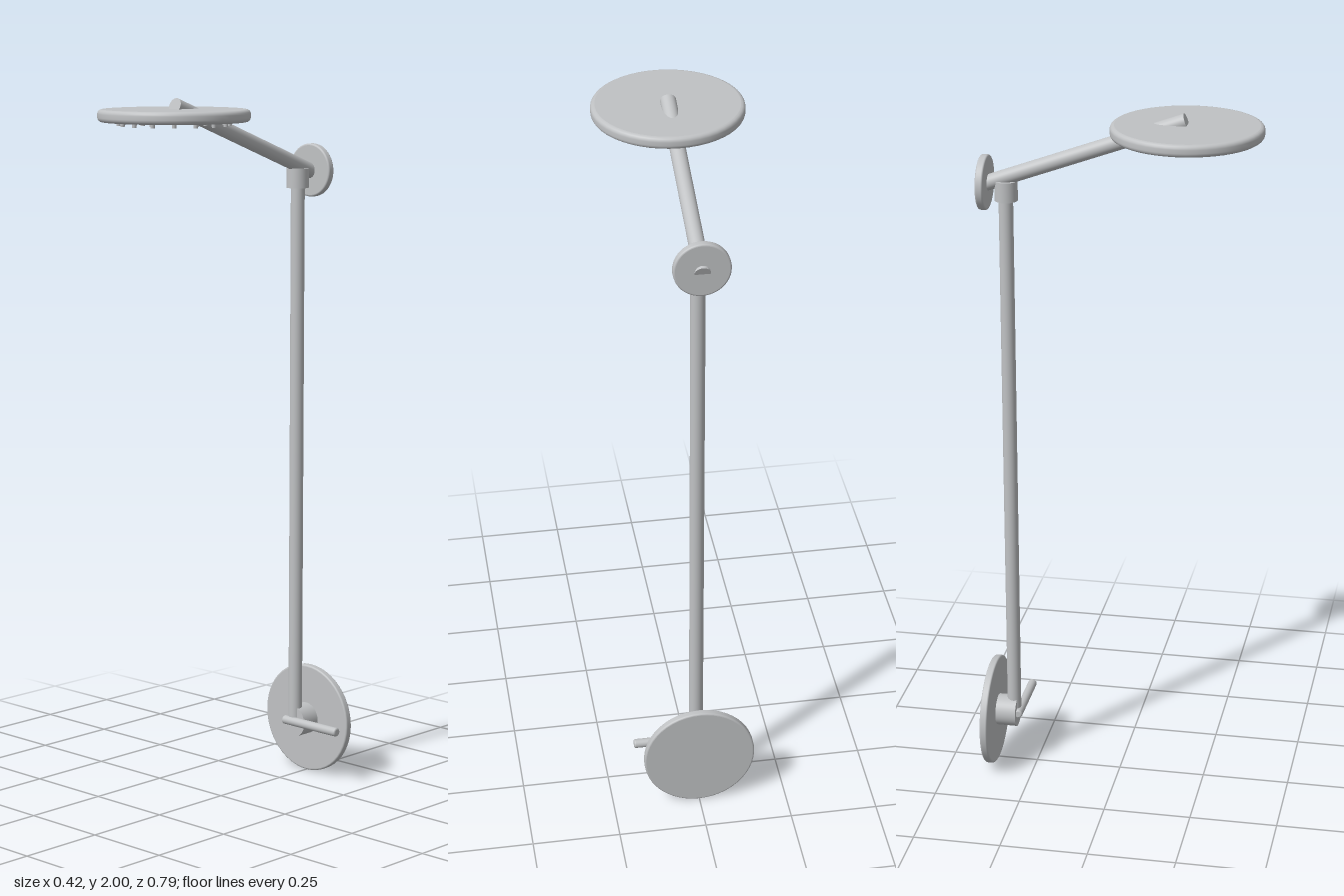
import * as THREE from 'three';

export function createModel() {
  const root = new THREE.Group();
  root.name = 'showerColumn';
  const steel = new THREE.MeshStandardMaterial({ color: 0xc0c2c4 });
  steel.name = 'brushed steel';

  const add = (name, geometry, x, y, z, parent = root) => {
    const mesh = new THREE.Mesh(geometry, steel);
    mesh.name = name;
    mesh.position.set(x, y, z);
    parent.add(mesh);
    return mesh;
  };

  // Disc or rod about the y axis with softly rounded rims; doubled points keep the flats crisp
  const rounded = (r, h, b, segments = 48) => {
    const pts = [[0, -h / 2], [r - b, -h / 2]];
    for (let i = 0; i <= 4; i++) {
      const a = -Math.PI / 2 + (i / 4) * Math.PI / 2;
      pts.push([r - b + b * Math.cos(a), -h / 2 + b + b * Math.sin(a)]);
    }
    for (let i = 0; i <= 4; i++) {
      const a = (i / 4) * Math.PI / 2;
      pts.push([r - b + b * Math.cos(a), h / 2 - b + b * Math.sin(a)]);
    }
    pts.push([r - b, h / 2], [0, h / 2]);
    return new THREE.LatheGeometry(pts.map(p => new THREE.Vector2(...p)), segments);
  };

  // Lower wall plate, valve hub and lever
  add('lowerWallPlate', rounded(0.16, 0.022, 0.005), 0, 0.162, -0.376).rotation.x = Math.PI / 2;
  add('valveHub', new THREE.CylinderGeometry(0.046, 0.046, 0.06, 40), 0, 0.162, -0.336).rotation.x = Math.PI / 2;
  add('lever', rounded(0.013, 0.208, 0.005, 24), 0.075, 0.164, -0.301).rotation.z = Math.PI / 2;

  // Riser pipe with its top collar
  add('riserPipe', new THREE.CylinderGeometry(0.02, 0.02, 1.6, 32), 0, 0.965, -0.317);
  add('collar', new THREE.CylinderGeometry(0.032, 0.032, 0.056, 32), 0, 1.762, -0.316);

  // Upper wall plate and the arm rising forward through it
  add('upperWallPlate', rounded(0.076, 0.022, 0.005), 0, 1.782, -0.376).rotation.x = Math.PI / 2;
  add('showerArm', new THREE.CylinderGeometry(0.0215, 0.0215, 0.604, 32), 0, 1.877, -0.104)
    .rotation.x = THREE.MathUtils.degToRad(70);

  // Shower head with rings of nozzles underneath
  const head = new THREE.Group();
  head.name = 'showerHead';
  head.position.set(0, 1.954, 0.183);
  root.add(head);
  add('headDisc', rounded(0.208, 0.034, 0.012), 0, 0, 0, head);
  const nozzle = new THREE.CylinderGeometry(0.007, 0.006, 0.014, 12);
  for (const [radius, count] of [[0.15, 16], [0.085, 8]]) {
    for (let i = 0; i < count; i++) {
      const a = (i / count) * Math.PI * 2;
      add('nozzle', nozzle, radius * Math.cos(a), -0.021, radius * Math.sin(a), head);
    }
  }
  return root;
}
